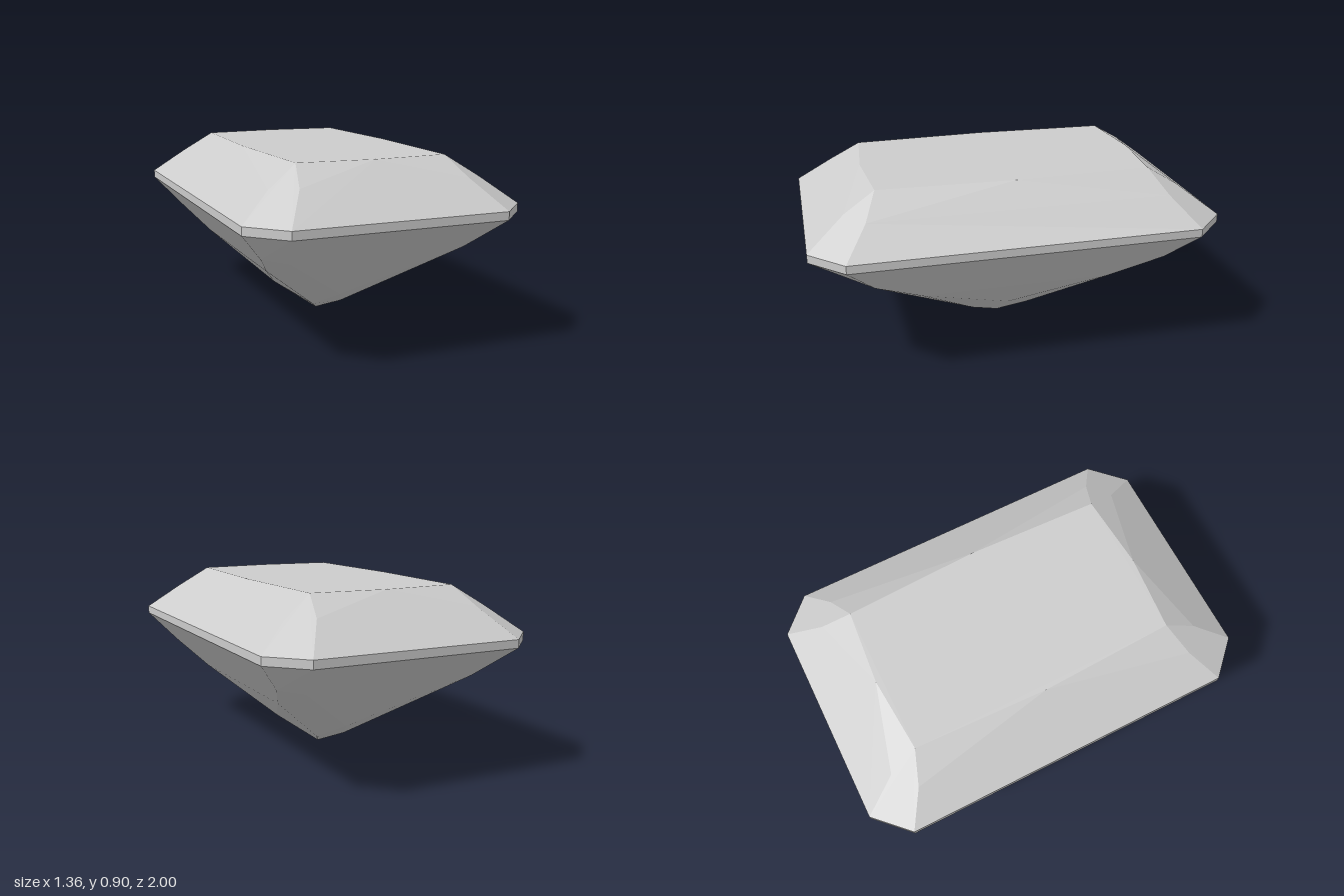
import * as THREE from 'three';
import { ConvexGeometry } from 'three/addons/geometries/ConvexGeometry.js';

const BELT_LOW = 0.635, BELT_HIGH = 0.675;

// Repeat one quadrant's corners in all four quadrants
function mirror4(points) {
  const out = [];
  for (const [x, y, z] of points)
    for (const sx of x ? [1, -1] : [1])
      for (const sz of z ? [1, -1] : [1]) out.push(new THREE.Vector3(x * sx, y, z * sz));
  return out;
}

// Faceted convex shell, left open at the given seam heights
function shell(name, points, seams, material) {
  const hull = new ConvexGeometry(mirror4(points));
  const p = hull.getAttribute('position');
  const kept = [];
  for (let i = 0; i < p.count; i += 3) {
    const isCap = seams.some((h) => [0, 1, 2].every((k) => Math.abs(p.getY(i + k) - h) < 1e-5));
    if (isCap) continue;
    for (let k = 0; k < 3; k++) kept.push(p.getX(i + k), p.getY(i + k), p.getZ(i + k));
  }
  const geometry = new THREE.BufferGeometry();
  geometry.setAttribute('position', new THREE.Float32BufferAttribute(kept, 3));
  geometry.computeVertexNormals(); // unshared corners give flat facets
  const mesh = new THREE.Mesh(geometry, material);
  mesh.name = name;
  return mesh;
}

export function createModel() {
  const gem = new THREE.Group();
  gem.name = 'cutGem';
  const stone = new THREE.MeshStandardMaterial({ color: 0xcccccc });
  stone.name = 'paleGreyStone';

  // Rectangular outline with clipped corners
  const outline = (y) => [[0.52, y, 1], [0.68, y, 0.84]];

  // Crown: sloping facets up to an eight-sided table
  gem.add(shell('crown', [
    ...outline(BELT_HIGH),
    [0.415, 0.81, 0.82], [0.5245, 0.8, 0.7315],
    [0.375, 0.9, 0.67], [0, 0.9, 0.7], [0.4, 0.9, 0],
  ], [BELT_HIGH], stone));

  // Girdle: thin upright band
  gem.add(shell('girdle', [...outline(BELT_LOW), ...outline(BELT_HIGH)], [BELT_LOW, BELT_HIGH], stone));

  // Pavilion: facets running down to the point
  gem.add(shell('pavilion', [
    ...outline(BELT_LOW),
    [0.44, 0.47, 0.764], [0.554, 0.49, 0.71],
    [0.45, 0.37, 0.48], [0.25, 0.36, 0.606],
    [0.24, 0.17, 0], [0, 0.16, 0.32],
    [0.08, 0.07, 0.15], [0, 0, 0],
  ], [BELT_LOW], stone));

  return gem;
}
